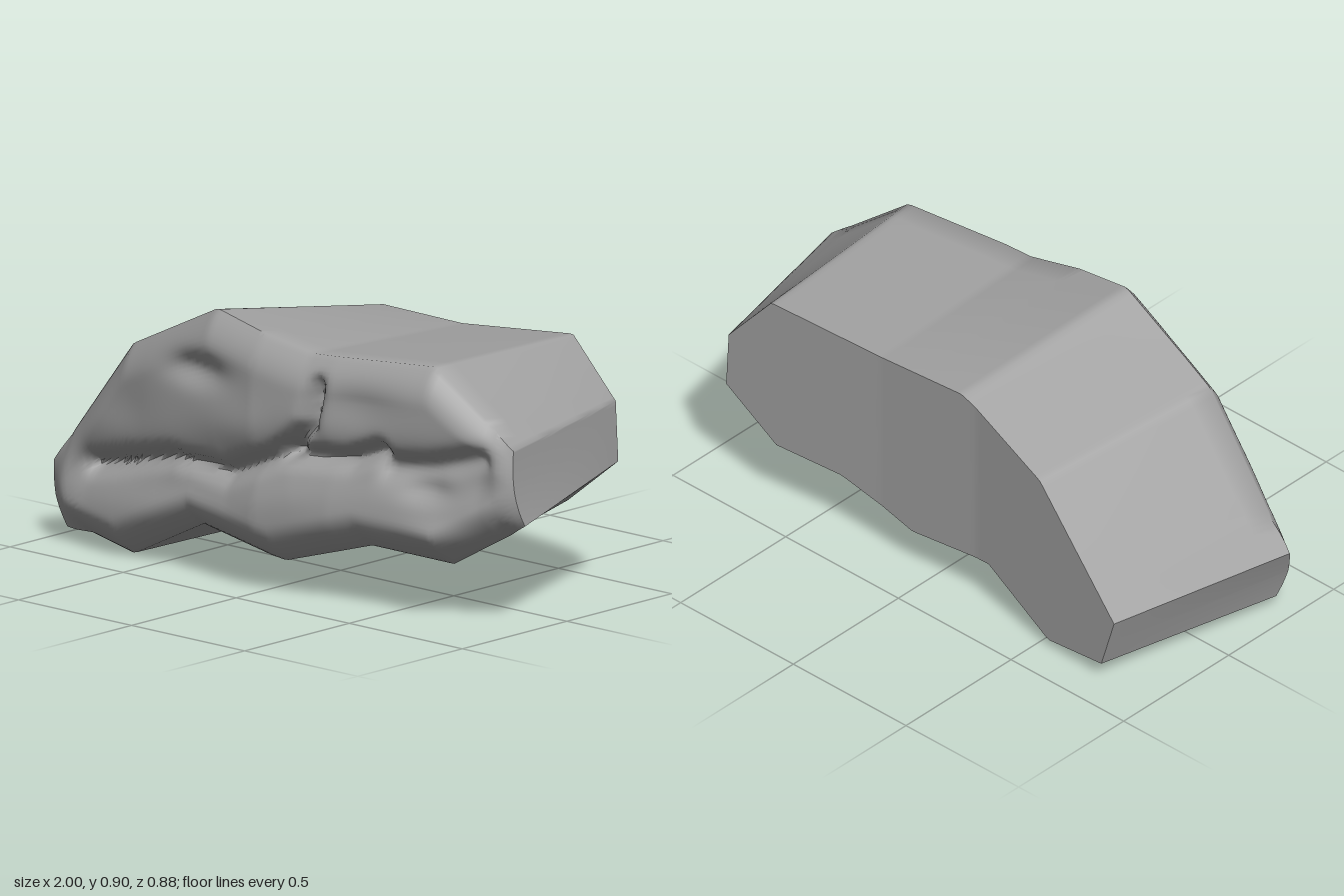
import * as THREE from 'three';
import { toCreasedNormals } from 'three/addons/utils/BufferGeometryUtils.js';

// Upper and lower outline corners: [front x, front y, back x, back y]
const UPPER = [
  [-1, 0.26, -0.85, 0.26], [-0.62, 0.72, -0.5, 0.65], [-0.22, 0.91, -0.14, 0.81],
  [0.2, 0.83, 0.2, 0.8], [0.67, 0.85, 0.64, 0.83], [0.97, 0.61, 0.81, 0.63],
];
const LOWER = [
  [-0.93, 0.05, -0.79, 0.07], [-0.65, 0.005, -0.54, 0.035], [-0.32, 0.165, -0.26, 0.19],
  [0.06, 0.11, 0.07, 0.165], [0.4, 0.21, 0.36, 0.26], [0.71, 0.19, 0.62, 0.27], [1, 0.36, 0.82, 0.43],
];
// Depth of the front and back faces: [x, z]
const FRONT_Z = [[-1, 0.33], [-0.9, 0.36], [-0.5, 0.395], [0, 0.43], [0.3, 0.4], [0.9, 0.29], [1, 0.25]];
const BACK_Z = [[-0.85, -0.385], [-0.2, -0.345], [0.2, -0.365], [0.82, -0.44]];

// Cracks across the front: narrow grooves along polylines
const CRACKS = [
  { path: [[-0.78, 0.29], [-0.4, 0.385], [-0.15, 0.375], [0.1, 0.48], [0.36, 0.5], [0.48, 0.55]], depth: 0.055, width: 0.032 },
  { path: [[-0.8, 0.28], [-0.15, 0.37], [0.12, 0.46], [0.45, 0.5], [0.85, 0.5]], depth: 0.035, width: 0.09 },
  { path: [[0.1, 0.49], [0.22, 0.6], [0.25, 0.74]], depth: 0.065, width: 0.028 },
  { path: [[0.52, 0.5], [0.68, 0.52], [0.87, 0.58]], depth: 0.035, width: 0.04 },
];
// Dents (positive) and bulges (negative): [x, y, radius x, radius y, depth]
const DENTS = [
  [-0.27, 0.71, 0.13, 0.05, 0.04], [0.66, 0.44, 0.09, 0.04, 0.03], [0.4, 0.69, 0.16, 0.1, 0.02],
  [0.72, 0.28, 0.13, 0.06, -0.03], [-0.1, 0.56, 0.2, 0.09, -0.015], [-0.6, 0.52, 0.14, 0.1, 0.012],
];

// Linear lookup of a column in a table sorted by its first column
function lookup(table, x, column) {
  let i = 0;
  while (i < table.length - 2 && x > table[i + 1][0]) i++;
  const a = table[i], b = table[i + 1];
  const t = THREE.MathUtils.clamp((x - a[0]) / (b[0] - a[0]), 0, 1);
  return a[column] + (b[column] - a[column]) * t;
}

function outlinePoint(table, u) {
  const x = THREE.MathUtils.lerp(table[0][0], table[table.length - 1][0], u);
  return [x, lookup(table, x, 1), lookup(table, x, 2), lookup(table, x, 3)];
}

function distanceToPath(path, x, y) {
  let best = Infinity;
  for (let i = 0; i < path.length - 1; i++) {
    const [ax, ay] = path[i], [bx, by] = path[i + 1];
    const dx = bx - ax, dy = by - ay;
    const t = THREE.MathUtils.clamp(((x - ax) * dx + (y - ay) * dy) / (dx * dx + dy * dy), 0, 1);
    best = Math.min(best, Math.hypot(x - ax - dx * t, y - ay - dy * t));
  }
  return best;
}

// Depth removed from the front face
function relief(x, y) {
  let d = 0.004 * Math.sin(9 * x + 5 * y) * Math.sin(13 * y - 4 * x);
  for (const c of CRACKS) d += c.depth * Math.exp(-((distanceToPath(c.path, x, y) / c.width) ** 2));
  for (const [cx, cy, rx, ry, depth] of DENTS) {
    d += depth * Math.exp(-(((x - cx) / rx) ** 2) - ((y - cy) / ry) ** 2);
  }
  return d;
}

export function createModel() {
  const stone = new THREE.MeshStandardMaterial({ color: 0xa0a0a0 });
  stone.name = 'grey stone';

  // A dense box whose corners follow the outlines and whose front is carved
  const geometry = new THREE.BoxGeometry(1, 1, 1, 120, 44, 8);
  geometry.deleteAttribute('uv');
  geometry.clearGroups();
  const p = geometry.attributes.position;
  for (let i = 0; i < p.count; i++) {
    const u = p.getX(i) + 0.5, v = p.getY(i) + 0.5, s = p.getZ(i) + 0.5;
    const low = outlinePoint(LOWER, u), high = outlinePoint(UPPER, u);
    const [fx, fy, bx, by] = low.map((value, k) => THREE.MathUtils.lerp(value, high[k], v));

    // Rounded rim: the face rises from a lower edge
    const height = high[1] - low[1];
    const rimY = THREE.MathUtils.clamp(Math.min(v, 1 - v) * height / 0.13, 0, 1);
    const rimX = THREE.MathUtils.clamp(Math.min(u, 1 - u) * 2 / 0.08, 0, 1);
    const drop = (v < 0.5 ? 0.1 : 0.065) * (1 - rimY) ** 2 * (0.3 + 0.7 * rimX) + 0.02 * (1 - rimX) ** 2;
    const inside = Math.min(rimX, rimY);
    const frontZ = lookup(FRONT_Z, fx, 1) - drop - relief(fx, fy) * inside;
    const backZ = lookup(BACK_Z, bx, 1);

    p.setXYZ(i,
      THREE.MathUtils.lerp(bx, fx, s),
      THREE.MathUtils.lerp(by, fy, s),
      THREE.MathUtils.lerp(backZ, frontZ, s));
  }

  const rock = new THREE.Mesh(toCreasedNormals(geometry, 0.9), stone);
  rock.name = 'rock';
  const group = new THREE.Group();
  group.name = 'crackedRock';
  group.add(rock);
  return group;
}
